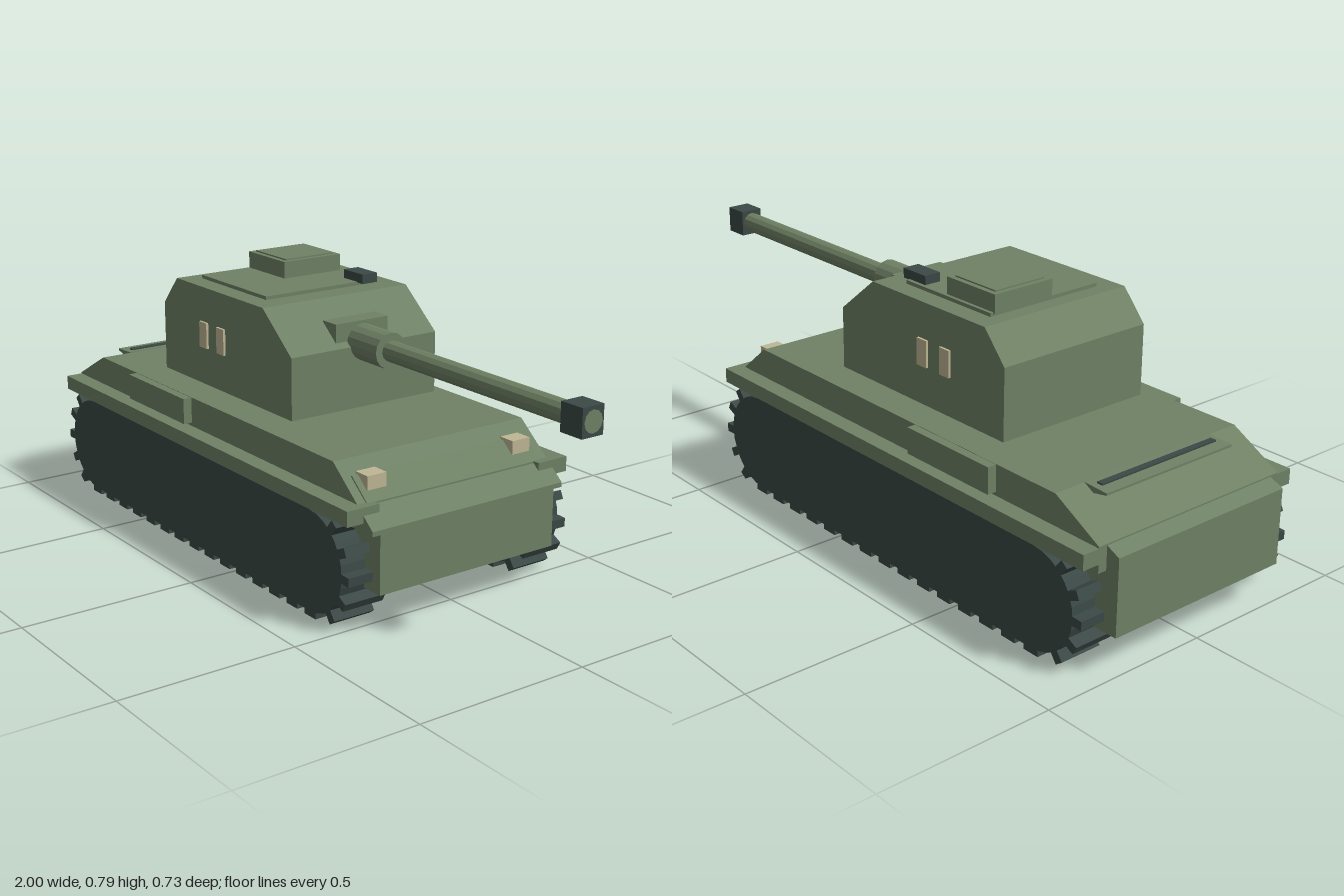
import * as THREE from 'three';

export function createModel() {
  const group = new THREE.Group();
  const mat = (name, color) => {
    const m = new THREE.MeshStandardMaterial({ color, flatShading: true });
    m.name = name;
    return m;
  };
  const green = mat('armour green', 0x6f8165);
  const dark = mat('track grey', 0x3b4946);
  const cream = mat('lamp cream', 0xbfb795);

  const add = (name, geo, material, parent = group) => {
    const mesh = new THREE.Mesh(geo, material);
    mesh.name = name;
    parent.add(mesh);
    return mesh;
  };
  // Box given by its limits on each axis
  const box = (name, material, x0, x1, y0, y1, z0, z1) => {
    const mesh = add(name, new THREE.BoxGeometry(x1 - x0, y1 - y0, z1 - z0), material);
    mesh.position.set((x0 + x1) / 2, (y0 + y1) / 2, (z0 + z1) / 2);
    return mesh;
  };
  // Side profile extruded across the width
  const slab = (name, material, points, z0, z1) => {
    const shape = new THREE.Shape(points.map(p => new THREE.Vector2(p[0], p[1])));
    const geo = new THREE.ExtrudeGeometry(shape, { depth: z1 - z0, bevelEnabled: false });
    return add(name, geo.translate(0, 0, z0), material);
  };
  // Cylinder lying along x
  const tube = (name, material, x0, x1, y, r, sides) => {
    const geo = new THREE.CylinderGeometry(r, r, x1 - x0, sides).rotateZ(-Math.PI / 2);
    add(name, geo, material).position.set((x0 + x1) / 2, y, 0);
  };

  // Hull
  slab('lowerHull', green,
    [[-1, 0.108], [0.57, 0.108], [0.57, 0.28], [-0.9, 0.335], [-0.96, 0.338], [-1, 0.32]], -0.289, 0.289);
  slab('upperHull', green,
    [[-0.96, 0.272], [0.573, 0.272], [0.573, 0.285], [0.405, 0.423], [-0.81, 0.423], [-0.96, 0.342]], -0.315, 0.315);
  slab('glacisPlate', green,
    [[0.44, 0.385], [0.515, 0.325], [0.515, 0.337], [0.45, 0.392]], -0.289, 0.289);

  // Rear deck grille
  slab('rearDeckPanel', green, [[-0.885, 0.415], [-0.81, 0.4], [-0.81, 0.424], [-0.885, 0.421]], -0.22, 0.22);
  box('rearGrille', dark, -0.85, -0.832, 0.416, 0.427, -0.2, 0.2);

  // Track geometry: closed loop with rounded ends
  const r = 0.14, yc = 0.155, xa = -0.79, xb = 0.37;
  const loop = new THREE.Shape();
  loop.moveTo(xa, yc - r);
  loop.lineTo(xb, yc - r);
  loop.absarc(xb, yc, r, -Math.PI / 2, Math.PI / 2, false);
  loop.lineTo(xa, yc + r);
  loop.absarc(xa, yc, r, Math.PI / 2, Math.PI * 1.5, false);
  const trackGeo = new THREE.ExtrudeGeometry(loop, { depth: 0.126, bevelEnabled: false, curveSegments: 7 });
  trackGeo.translate(0, 0, -0.063);
  const flatLug = new THREE.BoxGeometry(0.05, 0.03, 0.126);
  const endLug = new THREE.BoxGeometry(0.025, 0.06, 0.126);

  for (const [side, s] of [['left', 1], ['right', -1]]) {
    const track = new THREE.Group();
    track.name = side + 'Track';
    track.position.z = s * 0.301;
    group.add(track);
    add('trackBand', trackGeo, dark, track);
    for (let i = 0; i < 15; i++) {
      add('trackLug', flatLug, dark, track).position.set(xa + (xb - xa) * i / 14, yc - r, 0);
    }
    for (const [cx, dir] of [[xb, 1], [xa, -1]]) {
      for (let i = 0; i < 5; i++) {
        const a = -0.95 + i * 0.46;
        const lug = add('endLug', endLug, dark, track);
        lug.position.set(cx + dir * Math.cos(a) * r, yc + Math.sin(a) * r, 0);
        lug.rotation.z = dir * (a - Math.PI / 2);
      }
    }

    // Fender, side locker, headlight and turret side markers
    const pair = (name, m, x0, x1, y0, y1, z0, z1) =>
      box(name, m, x0, x1, y0, y1, Math.min(s * z0, s * z1), Math.max(s * z0, s * z1));
    pair(side + 'Fender', green, -0.96, 0.535, 0.296, 0.338, 0.265, 0.365);
    pair(side + 'Locker', green, -0.6, -0.285, 0.348, 0.422, 0.31, 0.341);
    pair(side + 'Headlight', cream, 0.44, 0.49, 0.36, 0.398, 0.21, 0.27);
    pair(side + 'FrontMarker', cream, -0.25, -0.212, 0.55, 0.625, 0.242, 0.25);
    pair(side + 'RearMarker', cream, -0.34, -0.302, 0.55, 0.625, 0.242, 0.25);
  }

  // Turret
  slab('turret', green,
    [[-0.545, 0.441], [0.116, 0.441], [0.116, 0.615], [-0.02, 0.725], [-0.47, 0.725], [-0.545, 0.64]], -0.243, 0.243);
  box('roofPlate', green, -0.425, -0.09, 0.72, 0.735, -0.185, 0.185);
  box('cupola', green, -0.43, -0.245, 0.73, 0.783, -0.175, 0.02);
  box('cupolaHatch', green, -0.415, -0.26, 0.78, 0.787, -0.16, 0.005);
  box('periscope', dark, -0.155, -0.065, 0.733, 0.76, -0.174, -0.124);

  // Gun
  box('mantlet', green, 0.04, 0.1, 0.58, 0.68, -0.087, 0.087);
  tube('gunSleeve', green, 0.09, 0.23, 0.622, 0.05, 16);
  tube('gunBarrel', green, 0.2, 1, 0.622, 0.029, 12);
  box('muzzleBrake', dark, 0.925, 0.998, 0.584, 0.66, -0.034, 0.034);

  return group;
}
